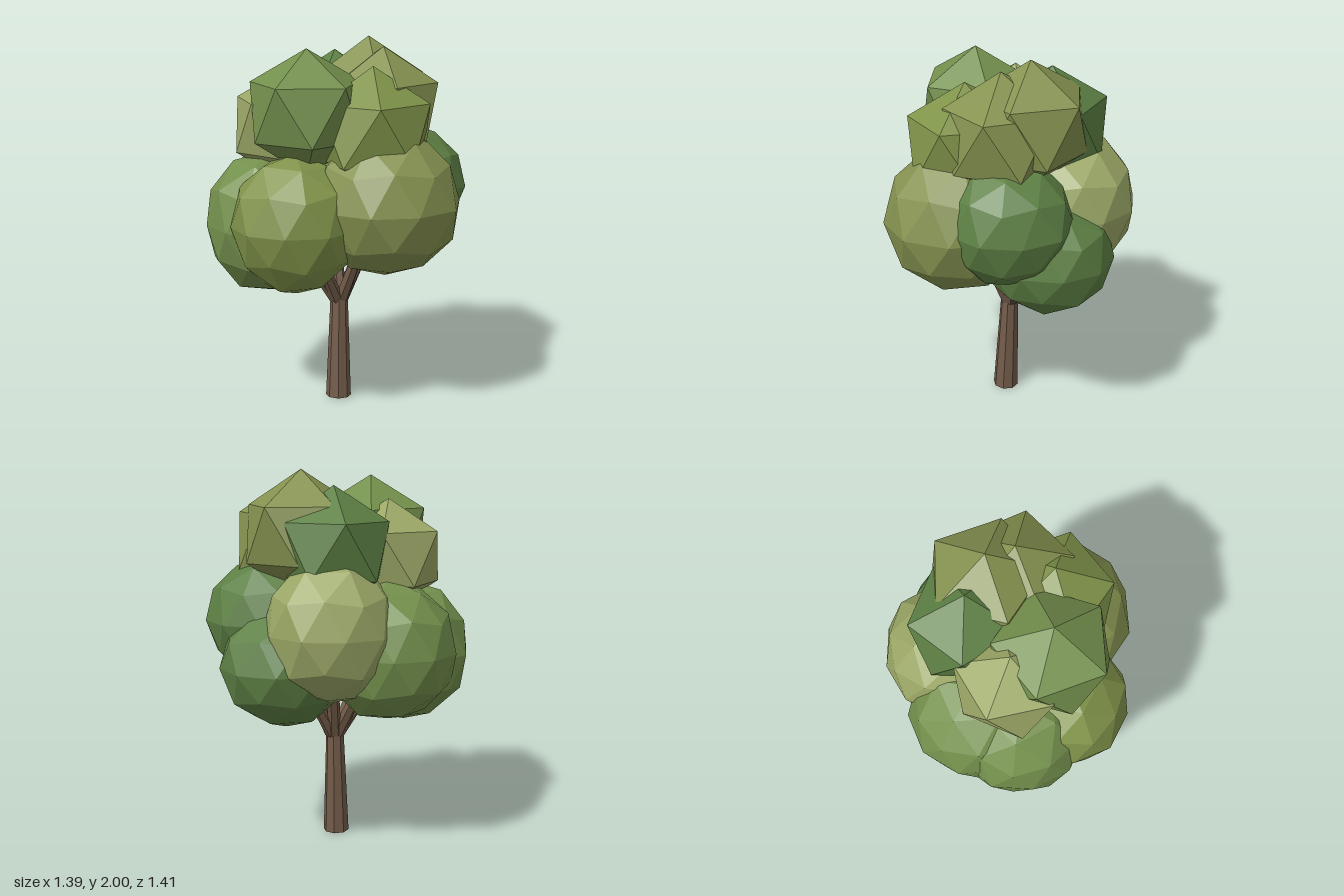
import * as THREE from 'three';

const GREEN = 0x5d8044, MID = 0x74904d, LIME = 0x80934a, OLIVE = 0x859250, PALE = 0x9ba766, BARK = 0x735c4a;

const material = (color) => new THREE.MeshStandardMaterial({ color, flatShading: true });

// Faceted leaf mass: a vertex-up icosahedron, turned about y and gently dented
function leafClump(name, color, [x, y, z], [rx, ry, rz], turn, detail, dent) {
  const geo = new THREE.IcosahedronGeometry(1, detail);
  geo.rotateZ(-Math.atan(2 / (1 + Math.sqrt(5))));
  geo.rotateY(-THREE.MathUtils.degToRad(turn));
  const pos = geo.attributes.position;
  const v = new THREE.Vector3();
  for (let i = 0; i < pos.count; i++) {
    v.fromBufferAttribute(pos, i);
    // the same corner always gets the same dent, so faces stay joined
    const wave = Math.sin(v.x * 5.1 + x * 9) + Math.sin(v.y * 4.3 + z * 7) + Math.sin(v.z * 5.7 + y * 8);
    v.multiplyScalar(1 + dent * wave / 3);
    pos.setXYZ(i, v.x * rx, v.y * ry, v.z * rz);
  }
  geo.computeVertexNormals();
  const mesh = new THREE.Mesh(geo, material(color));
  mesh.name = name;
  mesh.position.set(x, y, z);
  return mesh;
}

// Tapered limb between two points
function limb(name, from, to, r0, r1, sides) {
  const a = new THREE.Vector3(...from), b = new THREE.Vector3(...to);
  const dir = b.clone().sub(a);
  const mesh = new THREE.Mesh(new THREE.CylinderGeometry(r1, r0, dir.length(), sides), material(BARK));
  mesh.name = name;
  mesh.position.copy(a).add(b).multiplyScalar(0.5);
  mesh.quaternion.setFromUnitVectors(new THREE.Vector3(0, 1, 0), dir.normalize());
  return mesh;
}

export function createModel() {
  const tree = new THREE.Group();
  tree.name = 'tree';

  // Leaning trunk
  const fork = [0.02, 0.61, -0.015];
  tree.add(limb('trunk', [0, 0.004, 0], fork, 0.07, 0.047, 8));

  // Lower ring of rounder clumps: name, colour, centre, radii, turn
  const lower = [
    ['frontClump', OLIVE, [0.035, 1.17, 0.32], [0.395, 0.4, 0.385], 20],
    ['rightClump', LIME, [-0.345, 1.07, 0.045], [0.355, 0.37, 0.34], 50],
    ['backRightClump', MID, [-0.3, 1.03, -0.215], [0.36, 0.38, 0.36], 10],
    ['backClump', MID, [-0.09, 1.07, -0.34], [0.36, 0.37, 0.37], 35],
    ['backLeftClump', PALE, [0.225, 1.19, -0.26], [0.35, 0.37, 0.365], 60],
    ['leftClump', GREEN, [0.35, 0.99, -0.035], [0.35, 0.32, 0.345], 5],
    ['frontLeftClump', GREEN, [0.315, 1.21, 0.185], [0.33, 0.345, 0.335], 40],
  ];
  const foliage = new THREE.Group();
  foliage.name = 'foliage';
  for (const [name, color, centre, radii, turn] of lower) {
    foliage.add(leafClump(name, color, centre, radii, turn, 1, 0.045));
  }

  // Crown of coarser clumps: name, colour, centre, radius, turn
  const crown = [
    ['crownRight', MID, [-0.25, 1.64, 0.025], 0.328, -125],
    ['crownLeft', OLIVE, [0.225, 1.67, 0], 0.33, -90],
    ['crownFrontLeft', OLIVE, [0.185, 1.625, 0.15], 0.33, 50],
    ['crownFront', LIME, [0.005, 1.54, 0.25], 0.335, 56],
    ['crownBack', GREEN, [0.15, 1.6, -0.185], 0.32, -66],
    ['crownBackRight', PALE, [-0.2, 1.545, -0.195], 0.305, -45],
  ];
  for (const [name, color, centre, r, turn] of crown) {
    foliage.add(leafClump(name, color, centre, [r, r, r], turn, 0, 0.03));
  }
  tree.add(foliage);

  // Branches fanning out from the fork into each lower clump
  const branches = new THREE.Group();
  branches.name = 'branches';
  for (const [, , [x, y, z]] of lower) {
    const root = [fork[0] + x * 0.05, fork[1] - 0.04, fork[2] + z * 0.05];
    branches.add(limb('branch', root, [x * 0.85, y, z * 0.85], 0.037, 0.024, 6));
  }
  tree.add(branches);
  return tree;
}
